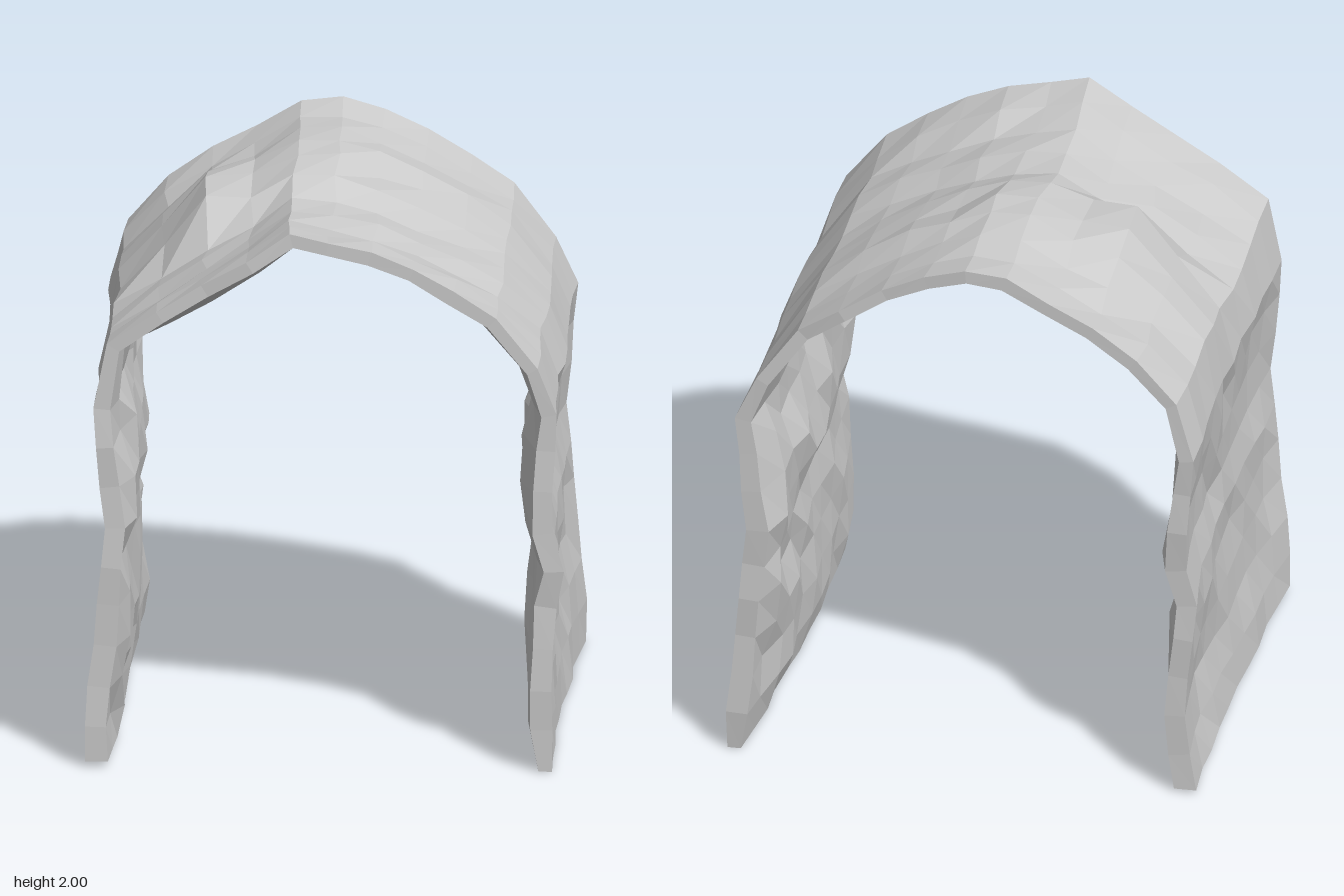
import * as THREE from 'three';

// Outer cross-sections [x, y] from the left (+x) foot over the crown to the other foot
const FRONT = [
  [0.785, 0], [0.785, 0.15], [0.785, 0.3], [0.79, 0.45], [0.805, 0.6], [0.83, 0.74], [0.785, 0.88], [0.79, 1.03],
  [0.8, 1.18], [0.8, 1.32], [0.735, 1.49], [0.59, 1.67], [0.44, 1.77], [0.3, 1.85], [0.15, 1.91], [0, 1.945],
  [-0.14, 1.975], [-0.29, 1.87], [-0.45, 1.78], [-0.61, 1.68], [-0.78, 1.56], [-0.83, 1.32], [-0.82, 1.18],
  [-0.805, 1.03], [-0.79, 0.88], [-0.805, 0.74], [-0.815, 0.6], [-0.83, 0.45], [-0.85, 0.3], [-0.858, 0.15], [-0.86, 0.02]];
const BACK = [
  [0.855, 0], [0.855, 0.15], [0.84, 0.3], [0.825, 0.45], [0.81, 0.6], [0.8, 0.74], [0.785, 0.88], [0.8, 1.03],
  [0.81, 1.18], [0.825, 1.32], [0.75, 1.49], [0.6, 1.69], [0.45, 1.79], [0.3, 1.885], [0.15, 1.955], [0, 2],
  [-0.15, 1.985], [-0.3, 1.89], [-0.46, 1.81], [-0.62, 1.7], [-0.76, 1.54], [-0.82, 1.32], [-0.81, 1.18],
  [-0.8, 1.03], [-0.795, 0.88], [-0.835, 0.74], [-0.82, 0.6], [-0.8, 0.45], [-0.79, 0.3], [-0.81, 0.15], [-0.835, 0.01]];
// Vertical shift of the crown at each station, back to front
const CROWN = [0, -0.015, -0.015, 0.005, 0, -0.03, -0.065, -0.06, -0.055, -0.02, 0];
const N = FRONT.length, STATIONS = CROWN.length, HALF = 0.77;

function seeded(seed) {
  let s = seed;
  return () => {
    s = (s * 1664525 + 1013904223) % 4294967296;
    return s / 2147483648 - 1;
  };
}

// One closed loop: outer skin, then the rougher inner skin in reverse
function section(k, rand) {
  const { smoothstep } = THREE.MathUtils;
  const t = k / (STATIONS - 1);
  const z = -HALF + 2 * HALF * t;
  const end = k === 0 || k === STATIONS - 1;
  const outer = FRONT.map(([fx, fy], i) => {
    const [bx, by] = BACK[i];
    let x = bx + (fx - bx) * t, y = by + (fy - by) * t, pz = z;
    y += CROWN[k] * (x > 0 ? smoothstep(y, 1.5, 1.95) : smoothstep(y, 1.3, 1.75));
    // walls lean inwards between the two ends, in uneven waves
    const wave = 1 + 0.5 * Math.sin(9 * y + 5 * z + (x > 0 ? 0 : 2));
    const lean = 0.018 + 0.02 * smoothstep(y, 0, 0.3) * wave;
    x -= Math.sign(x) * lean * Math.sqrt(Math.sin(Math.PI * t)) * (1 - smoothstep(y, 1.1, 1.4));
    // raised slab that breaks off in a step just in front of the middle
    if (x < -0.2 && x > -0.7) {
      if (k === 5 || k === 6) pz += 0.045;
      if (k < 6) y += 0.12 * Math.exp(-((x + 0.47) ** 2) / 0.018) * Math.max(0, 1 + z / 0.6);
    }
    // shallow dent on the opposite slope
    y -= 0.04 * Math.exp(-((x - 0.2) ** 2 + (z + 0.17) ** 2) / 0.02);
    const rough = end ? 0.003 : 0.011;
    return new THREE.Vector3(x + rand() * rough, i % (N - 1) ? y + rand() * rough : y,
      pz + rand() * (end ? 0.008 : 0.015));
  });
  const inner = outer.map((p, i) => {
    const a = outer[Math.max(i - 1, 0)], b = outer[Math.min(i + 1, N - 1)];
    const inward = new THREE.Vector3(a.y - b.y, b.x - a.x, 0).normalize();
    const foot = i === 0 || i === N - 1;
    // the rim is thin over the arch and thicker down the walls
    const rim = 0.048 + 0.027 * (1 - smoothstep(p.y, 0.9, 1.5));
    let depth = end ? rim + 0.006 * rand() : 0.078 + 0.022 * rand();
    if (foot) {
      inward.set(-Math.sign(p.x), 0, 0);
      depth = i === 0 ? 0.048 : 0.08;
    }
    const q = p.clone().addScaledVector(inward, depth);
    if (!end && !foot) q.z += rand() * 0.02;
    return q;
  });
  return [...outer, ...inner.reverse()];
}

function tunnelGeometry() {
  const rand = seeded(73);
  const positions = [], index = [], M = 2 * N;
  for (let k = 0; k < STATIONS; k++) {
    for (const p of section(k, rand)) positions.push(p.x, Math.max(p.y, 0), p.z);
  }
  const quad = (a, b, c, d) => index.push(a, b, c, a, c, d);
  // skins and foot strips
  for (let k = 0; k < STATIONS - 1; k++) {
    for (let i = 0; i < M; i++) {
      const j = (i + 1) % M;
      quad(k * M + i, k * M + j, (k + 1) * M + j, (k + 1) * M + i);
    }
  }
  // end faces
  const f = (STATIONS - 1) * M;
  for (let i = 0; i < N - 1; i++) {
    const a = i, b = i + 1, c = M - 2 - i, d = M - 1 - i;
    quad(f + a, f + b, f + c, f + d);
    quad(d, c, b, a);
  }
  const geometry = new THREE.BufferGeometry();
  geometry.setAttribute('position', new THREE.Float32BufferAttribute(positions, 3));
  geometry.setIndex(index);
  geometry.computeVertexNormals();
  return geometry;
}

export function createModel() {
  const model = new THREE.Group();
  model.name = 'rockTunnel';
  const material = new THREE.MeshStandardMaterial({ color: 0xcccccc, flatShading: true });
  const shell = new THREE.Mesh(tunnelGeometry(), material);
  shell.name = 'tunnelShell';
  model.add(shell);
  return model;
}
